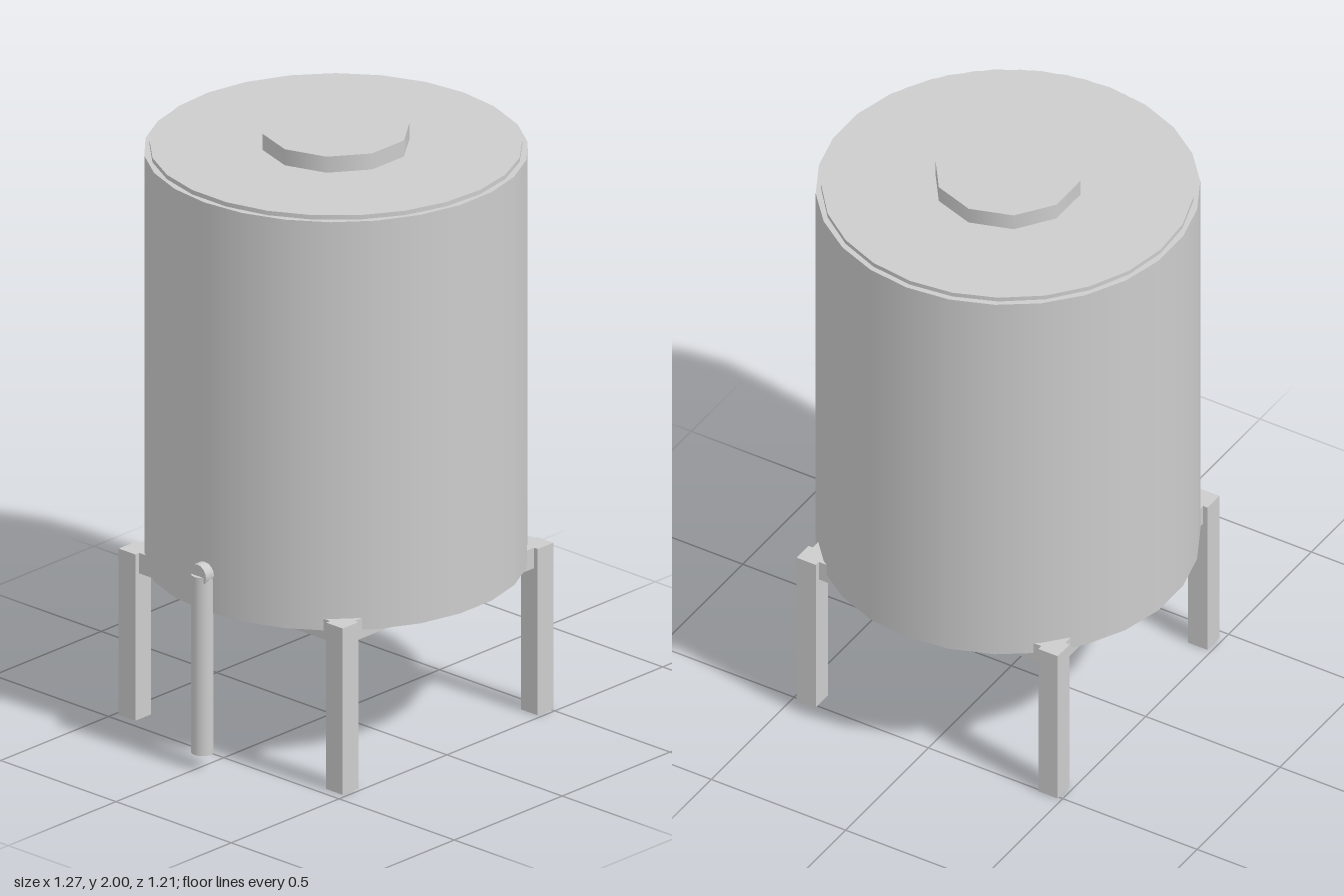
import * as THREE from 'three';

const CX = 0.02; // tank axis

export function createModel() {
  const model = new THREE.Group();
  model.name = 'storageTank';
  const steel = new THREE.MeshStandardMaterial({ color: 0xcccccc });
  steel.name = 'greySteel';

  const add = (name, geometry, x, y, z) => {
    const mesh = new THREE.Mesh(geometry, steel);
    mesh.name = name;
    mesh.position.set(x, y, z);
    model.add(mesh);
    return mesh;
  };

  // Upright cylinder between two heights, first corner pointing along +x
  const drum = (name, radius, y0, y1, sides, x = CX) =>
    add(name, new THREE.CylinderGeometry(radius, radius, y1 - y0, sides, 1, false, Math.PI / 2),
      x, (y0 + y1) / 2, 0);

  // Vessel, lid and hatch
  drum('tankBody', 0.61, 0.53, 1.93, 26);
  drum('lid', 0.592, 1.91, 1.945, 25);
  drum('hatch', 0.237, 1.93, 2, 10);

  // Square base plate carrying the tank
  add('basePlate', new THREE.BoxGeometry(0.94, 0.07, 0.94), CX, 0.535, 0);

  // Four corner legs
  for (const sx of [-1, 1]) {
    for (const sz of [-1, 1]) {
      add('leg', new THREE.BoxGeometry(0.072, 0.57, 0.072), CX + sx * 0.452, 0.285, sz * 0.45);
    }
  }

  // Drain pipe hanging from a short outlet in the tank wall
  drum('drainPipe', 0.036, 0.05, 0.66, 16, -0.6);
  const outlet = add('drainOutlet', new THREE.CylinderGeometry(0.037, 0.037, 0.085, 16), -0.58, 0.662, 0);
  outlet.rotation.z = Math.PI / 2;

  return model;
}
